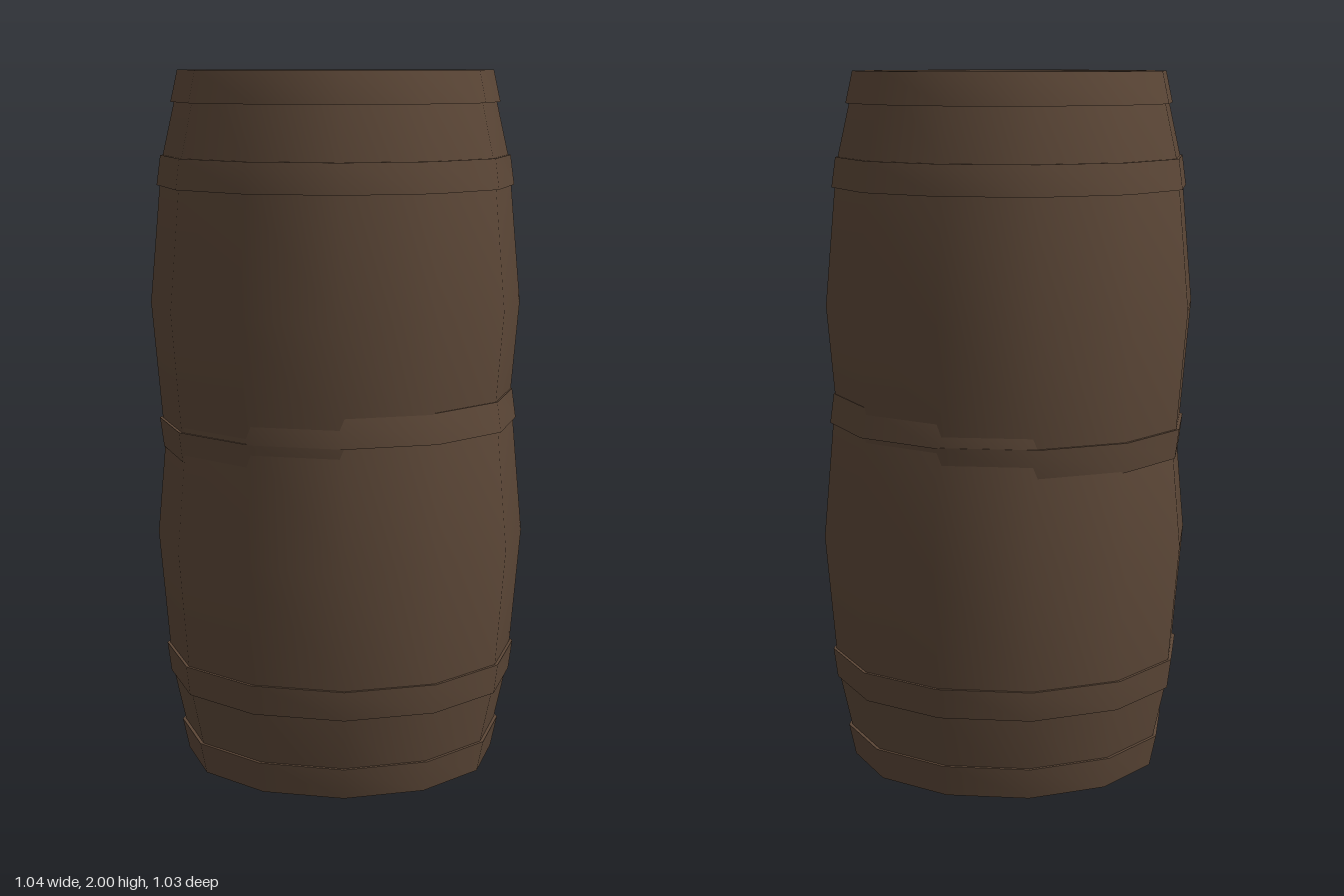
import * as THREE from 'three';
import { toCreasedNormals } from 'three/addons/utils/BufferGeometryUtils.js';

const SIDES = 12;
const HEIGHT = 1.324;
const FLAT = Math.cos(Math.PI / SIDES); // distance to a flat over distance to a corner

const wood = new THREE.MeshStandardMaterial({ color: 0x5c4737 });
wood.name = 'dark brown wood';

// Revolves a [distance to flat, y] profile into a twelve-sided ring
function ring(name, profile) {
  const points = profile.map(([r, y]) => new THREE.Vector2(r / FLAT, y));
  const lathe = new THREE.LatheGeometry(points, SIDES, Math.PI / SIDES);
  const mesh = new THREE.Mesh(toCreasedNormals(lathe, 0.6), wood);
  mesh.name = name;
  return mesh;
}

function makeBarrel(name) {
  const barrel = new THREE.Group();
  barrel.name = name;
  const H = HEIGHT;

  // Bulging staves with a flat rim and a recessed lid at each end
  barrel.add(ring('staves', [
    [0.385, 0.03], [0.385, 0], [0.425, 0], [0.477, 0.24], [0.487, 0.33], [0.515, H / 2],
    [0.487, H - 0.33], [0.477, H - 0.24], [0.425, H], [0.385, H], [0.385, H - 0.03],
  ]));
  barrel.add(ring('bottomLid', [[0, 0.03], [0.385, 0.03]]));
  barrel.add(ring('topLid', [[0.385, H - 0.03], [0, H - 0.03]]));

  // Hoops: [name, low y, high y, low radius, high radius, inner radius]
  const hoops = [['endHoop', 0, 0.09, 0.435, 0.454, 0.42], ['quarterHoop', 0.24, 0.325, 0.484, 0.495, 0.47]];
  for (const [hoop, y0, y1, r0, r1, inner] of hoops) {
    barrel.add(ring(hoop + 'Lower', [[inner, y0], [r0, y0], [r1, y1], [inner, y1]]));
    barrel.add(ring(hoop + 'Upper', [[inner, H - y1], [r1, H - y1], [r0, H - y0], [inner, H - y0]]));
  }
  return barrel;
}

export function createModel() {
  const model = new THREE.Group();
  model.name = 'stackedBarrels';

  const lower = makeBarrel('lowerBarrel');
  lower.position.set(0.006, 0, 0);

  // The upper barrel is sunk into the lower one
  const upper = makeBarrel('upperBarrel');
  upper.position.set(-0.008, 2 - HEIGHT, -0.002);

  model.add(lower, upper);
  return model;
}
